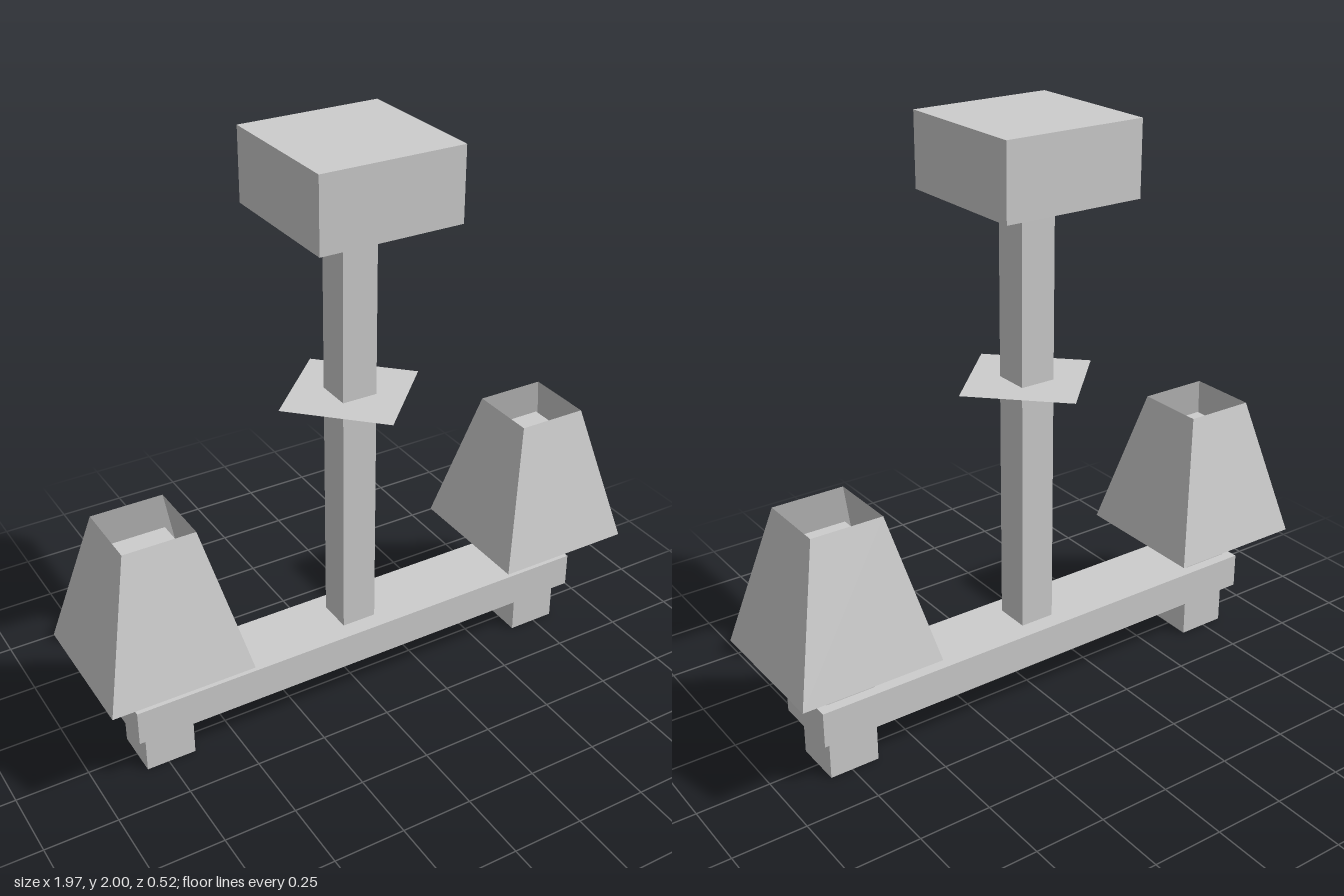
import * as THREE from 'three';

export function createModel() {
  const group = new THREE.Group();
  const grey = new THREE.MeshStandardMaterial({ color: 0xcccccc });
  grey.name = 'light grey';
  grey.side = THREE.DoubleSide;
  grey.flatShading = true;

  const add = (name, geometry, x, y) => {
    const mesh = new THREE.Mesh(geometry, grey);
    mesh.name = name;
    mesh.position.set(x, y, 0);
    group.add(mesh);
  };
  // Square-plan block between two heights
  const block = (name, w, d, y0, y1, x = 0) =>
    add(name, new THREE.BoxGeometry(w, y1 - y0, d), x, (y0 + y1) / 2);

  // Ceiling mount, stem and crossbar
  block('ceilingMount', 0.49, 0.49, 1.755, 2);
  block('stem', 0.123, 0.123, 0.276, 1.755);
  block('crossbar', 1.72, 0.246, 0.153, 0.276);

  // Thin diamond collar around the stem
  add('collar', new THREE.CircleGeometry(0.26, 4).rotateX(-Math.PI / 2), 0, 1.15);

  // Lamps at both ends: holder, bulb and open tapered shade
  for (const side of [-1, 1]) {
    const x = side * 0.74;
    block('lampHolder', 0.173, 0.173, 0, 0.52, x);
    block('bulb', 0.245, 0.245, 0.52, 0.767, x);
    const shade = new THREE.CylinderGeometry(
      0.123 * Math.SQRT2, 0.245 * Math.SQRT2, 0.49, 4, 1, true
    ).rotateY(Math.PI / 4).toNonIndexed();
    shade.computeVertexNormals();
    add('lampShade', shade, x, 0.645);
  }
  return group;
}
